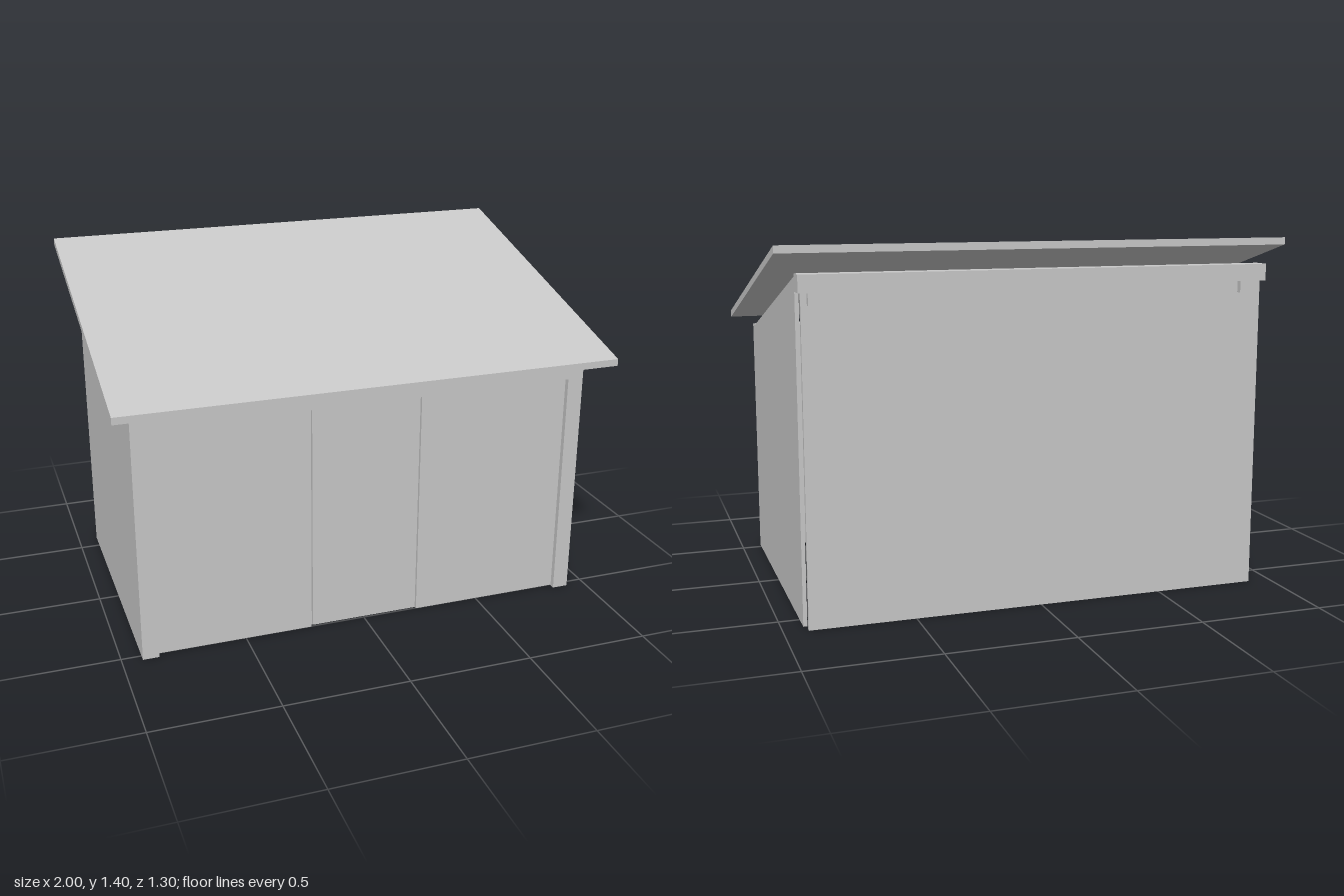
import * as THREE from 'three';

export function createModel() {
  const model = new THREE.Group();
  model.name = 'shed';
  const grey = new THREE.MeshStandardMaterial({ color: 0xc8c8c8 });
  grey.name = 'light grey';

  // Box given by its min and max on each axis
  function box(name, x0, x1, y0, y1, z0, z1) {
    const mesh = new THREE.Mesh(new THREE.BoxGeometry(x1 - x0, y1 - y0, z1 - z0), grey);
    mesh.position.set((x0 + x1) / 2, (y0 + y1) / 2, (z0 + z1) / 2);
    mesh.name = name;
    model.add(mesh);
  }

  // Side profile of [z, y] points, extruded from x0 to x1
  function slab(name, points, x0, x1) {
    const shape = new THREE.Shape(points.map(([z, y]) => new THREE.Vector2(-z, y)));
    const geometry = new THREE.ExtrudeGeometry(shape, { depth: x1 - x0, bevelEnabled: false });
    geometry.rotateY(Math.PI / 2);
    geometry.translate(x0, 0, 0);
    const mesh = new THREE.Mesh(geometry, grey);
    mesh.name = name;
    model.add(mesh);
  }

  // Sloping roof, raised clear of the walls
  slab('roof', [[0.65, 1.025], [-0.65, 1.374], [-0.65, 1.402], [0.65, 1.053]], -1, 1);

  // Side walls, corner posts, door posts and front panels, mirrored
  for (const s of [-1, 1]) {
    const side = s > 0 ? 'left' : 'right';
    const span = (a, b) => [Math.min(s * a, s * b), Math.max(s * a, s * b)];
    slab(side + 'Wall', [[0.465, 0], [-0.58, 0], [-0.58, 1.29], [0.465, 1.007]], ...span(0.905, 0.92));
    box(side + 'CornerPost', ...span(0.855, 0.92), 0, 1.005, 0.465, 0.53);
    box(side + 'FrontPanel', ...span(0.228, 0.855), 0.003, 0.945, 0.493, 0.508);
    box(side + 'DoorPost', ...span(0.215, 0.25), 0.003, 0.945, 0.47, 0.493);
    // Tabs hanging from the back beam
    box(side + 'BeamTab', ...span(0.81, 0.885), 1.19, 1.235, -0.65, -0.627);
  }

  // Door with its lintel and track
  box('door', -0.222, 0.222, 0.01, 0.945, 0.493, 0.508);
  box('frontLintel', -0.855, 0.855, 0.945, 1.005, 0.465, 0.53);
  box('doorTrack', -0.26, 0.26, 1.005, 1.016, 0.475, 0.51);

  // Back panel, hung under the beam
  box('backPanel', -0.908, 0.908, 0, 1.235, -0.627, -0.61);
  box('backBeam', -0.92, 0.92, 1.235, 1.3, -0.65, -0.58);

  return model;
}
